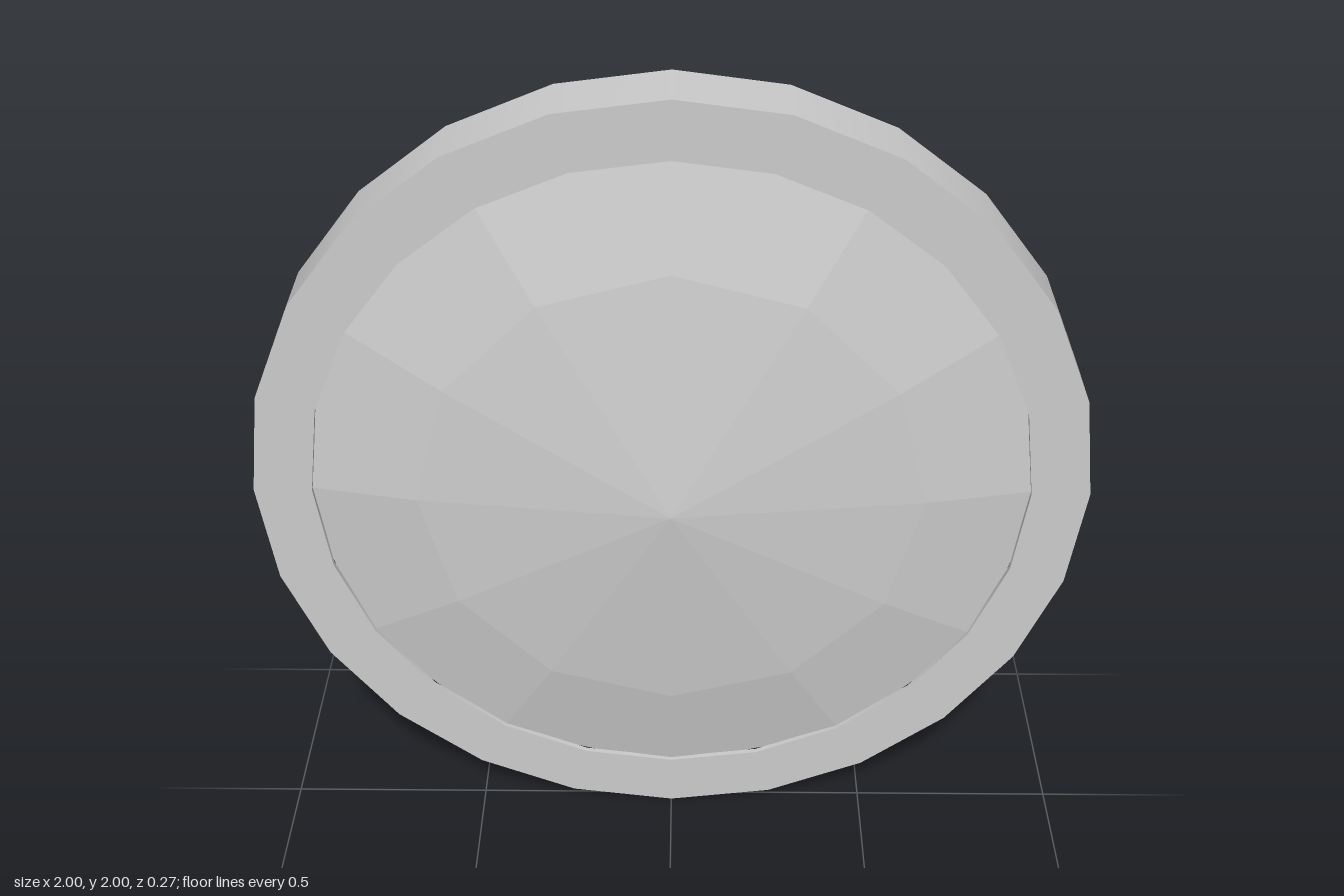
import * as THREE from 'three';

// Turns a [radius, z] profile around the z axis, at the height of the dish centre
function turned(name, profile, sides, flatShading = false) {
  const points = profile.map(([r, z]) => new THREE.Vector2(r, z));
  const geometry = new THREE.LatheGeometry(points, sides);
  geometry.rotateX(Math.PI / 2);
  const material = new THREE.MeshStandardMaterial({
    color: 0xcccccc, flatShading, side: THREE.DoubleSide,
  });
  const mesh = new THREE.Mesh(geometry, material);
  mesh.name = name;
  mesh.position.y = 1;
  return mesh;
}

export function createModel() {
  const group = new THREE.Group();
  group.name = 'roundLamp';
  const back = -0.136, face = 0.027;

  // Housing: open at the back, smooth wall, flat front ring and a short inner lip
  group.add(turned('rimWall', [[1, back], [1, face]], 24));
  group.add(turned('rimFace', [[1, face], [0.86, face]], 24));
  group.add(turned('rimLip', [[0.86, face], [0.86, 0.014]], 24));

  // Faceted shallow lens, a single shell whose edge tucks in behind the ring
  group.add(turned('lens', [[0.89, 0.011], [0.605, 0.067], [0, 0.136]], 12, true));
  return group;
}
